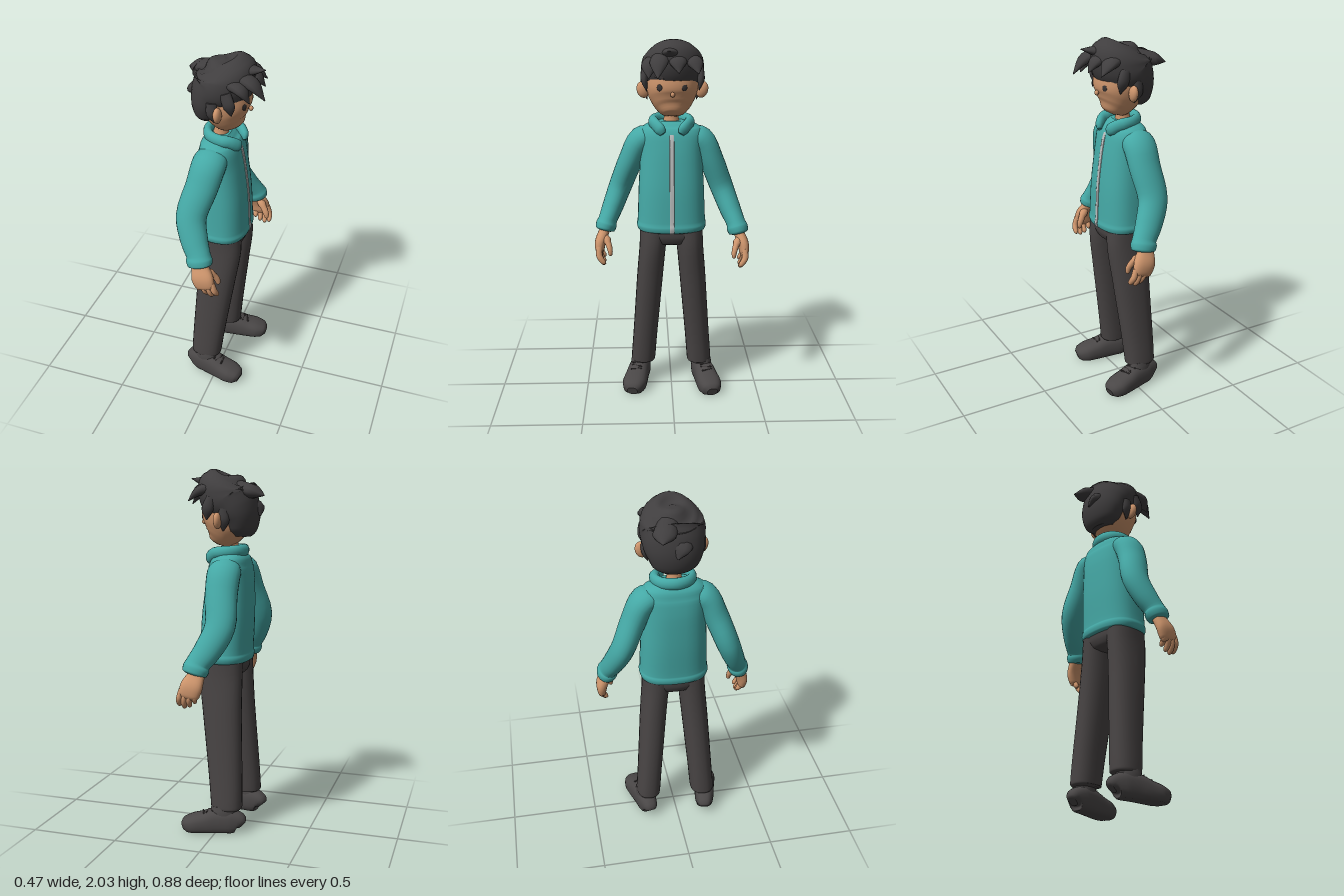
import * as THREE from 'three';

const mat = (name, color, side = THREE.FrontSide) => {
  const m = new THREE.MeshStandardMaterial({ color, side });
  m.name = name;
  return m;
};

// Smooth closed body through rings [x, y, z, halfA, halfB]; halfA lies along ref, p sets squareness
function loft(rings, { ref = [1, 0, 0], p = 2, seg = 24, steps = 4, floor = false } = {}) {
  const path = new THREE.CatmullRomCurve3(rings.map(r => new THREE.Vector3(r[0], r[1], r[2])));
  const size = new THREE.CatmullRomCurve3(rings.map(r => new THREE.Vector3(r[3], r[4], 0)));
  const n = (rings.length - 1) * steps, pos = [], idx = [];
  const up = new THREE.Vector3(...ref), pw = v => Math.sign(v) * Math.abs(v) ** (2 / p);
  const ring = i => {
    const c = path.getPoint(i / n), d = size.getPoint(i / n), t = path.getTangent(i / n);
    const u = up.clone().addScaledVector(t, -up.dot(t)).normalize();
    const v = t.clone().cross(u);
    for (let j = 0; j < seg; j++) {
      const a = j / seg * Math.PI * 2;
      const q = c.clone().addScaledVector(u, pw(Math.cos(a)) * d.x).addScaledVector(v, pw(Math.sin(a)) * d.y);
      pos.push(q.x, floor ? Math.max(0, q.y) : q.y, q.z);
    }
    return c;
  };
  for (let i = 0; i <= n; i++) ring(i);
  for (let i = 0; i < n; i++) for (let j = 0; j < seg; j++) {
    const a = i * seg + j, b = i * seg + (j + 1) % seg;
    idx.push(a, b, b + seg, a, b + seg, a + seg);
  }
  // End caps with their own vertices
  for (const end of [0, n]) {
    const s = pos.length / 3, c = ring(end), m = s + seg;
    pos.push(c.x, floor ? Math.max(0, c.y) : c.y, c.z);
    for (let j = 0; j < seg; j++) {
      const a = s + j, b = s + (j + 1) % seg;
      if (end) idx.push(m, a, b); else idx.push(m, b, a);
    }
  }
  const g = new THREE.BufferGeometry();
  g.setAttribute('position', new THREE.Float32BufferAttribute(pos, 3));
  g.setIndex(idx);
  g.computeVertexNormals();
  return g;
}

export function createModel() {
  const root = new THREE.Group();
  root.name = 'standingFigure';
  const teal = mat('jacketTeal', 0x45a9a6), zipGrey = mat('zipGrey', 0xb9bcbc);
  const trouser = mat('trouserCharcoal', 0x484444), shoeMat = mat('shoeCharcoal', 0x4a4747);
  const hairMat = mat('hairBlack', 0x403e3f), skin = mat('skin', 0xcf966d);
  const dark = mat('eyeDark', 0x383434);
  const add = (name, geo, m, parent = root) => {
    const mesh = new THREE.Mesh(geo, m);
    mesh.name = name;
    parent.add(mesh);
    return mesh;
  };

  // Jacket body: [y, centre x, half depth, half width]
  const body = [[.965, 0, .12, .17], [.975, 0, .14, .19], [1, 0, .145, .197], [1.025, 0, .14, .192],
    [1.2, -.008, .14, .185], [1.4, -.02, .128, .175], [1.5, -.025, .113, .178], [1.545, -.03, .095, .165],
    [1.57, -.03, .07, .125], [1.585, -.03, .055, .08]];
  add('jacketBody', loft(body.map(([y, x, a, b]) => [x, y, 0, a, b]), { p: 2.5, seg: 36 }), teal);
  add('zip', loft(body.slice(1, 8).map(([y, x, a]) => [x + a, y, 0, .004, .013]), { p: 4, seg: 12 }), zipGrey);

  // Collar running round the neck with two hanging tips
  const half = [[.09, 1.525, .05, .018, .012], [.08, 1.55, .065, .034, .024], [.045, 1.575, .092, .034, .025],
    [-.02, 1.583, .1, .034, .025], [-.075, 1.588, .068, .034, .025]];
  const mirrored = half.map(([x, y, z, a, b]) => [x, y, -z, a, b]).reverse();
  add('collar', loft([...half, [-.098, 1.59, 0, .034, .025], ...mirrored],
    { ref: [0, 1, 0], seg: 14 }), teal);

  // Neck and hips
  add('neck', loft([[-.03, 1.55, 0, .05, .05], [-.025, 1.62, 0, .037, .04], [-.02, 1.72, 0, .042, .045]]), skin);
  add('hips', loft([[0, .885, 0, .07, .06], [0, .9, 0, .105, .13], [0, .94, 0, .122, .175], [0, 1, 0, .125, .18]],
    { p: 2.4 }), trouser);

  for (const s of [1, -1]) {
    const side = s > 0 ? 'right' : 'left';
    const fwd = s > 0 ? 0 : 1;

    // Trouser leg with a turned hem
    const leg = [[0, .98, .098, .12, .082], [0, .88, .106, .122, .076], [-.015, .7, .122, .112, .075],
      [-.035, .5, .138, .103, .073], [-.055, .3, .154, .095, .071], [-.066, .17, .164, .09, .071],
      [-.068, .14, .166, .088, .07], [-.068, .132, .166, .07, .055]];
    add(side + 'TrouserLeg', loft(leg.map(([x, y, z, a, b]) =>
      [x + fwd * .022 * (1 - y), y, s * z, a, b]), { p: 2.3 }), trouser);

    // Shoe with tongue and laces, toes turned out
    const foot = new THREE.Group();
    foot.name = side + 'Shoe';
    foot.position.set(fwd * .028, 0, s * .2);
    foot.rotation.y = -s * .2;
    root.add(foot);
    add('shoeUpper', loft([[-.168, .04, 0, .025, .025], [-.155, .055, 0, .055, .045], [-.1, .063, 0, .075, .058],
      [-.02, .06, 0, .075, .062], [.04, .05, 0, .064, .067], [.1, .042, 0, .056, .07],
      [.148, .032, 0, .045, .055], [.168, .025, 0, .025, .03]],
      { ref: [0, 1, 0], p: 2.5, floor: true }), shoeMat, foot);
    add('shoeAnkle', loft([[-.07, .07, 0, .08, .055], [-.065, .125, 0, .075, .052], [-.06, .16, 0, .06, .045]]), shoeMat, foot);
    for (let i = 0; i < 3; i++) {
      const lace = add('lace', new THREE.CapsuleGeometry(.005, .055, 3, 8), dark, foot);
      lace.position.set(.0 + i * .024, .128 - i * .0085, 0);
      lace.rotation.set(Math.PI / 2, 0, i % 2 ? .2 : -.2);
    }

    // Sleeve bent at the elbow, ending in a puffed cuff
    const reach = y => fwd * .085 * THREE.MathUtils.clamp((1.5 - y) / .5, 0, 1);
    const sleeve = [[-.03, 1.505, .09, .07, .045], [-.037, 1.475, .165, .094, .074], [-.06, 1.36, .225, .09, .07],
      [-.1, 1.2, .288, .085, .066], [-.068, 1.08, .335, .077, .06], [-.035, 1.01, .364, .068, .054],
      [-.028, .985, .372, .074, .06], [-.02, .958, .38, .068, .055], [-.018, .95, .382, .045, .035]];
    add(side + 'Sleeve', loft(sleeve.map(([x, y, z, a, b]) => [x + reach(y), y, s * z, a, b])), teal);

    // Hand: palm, four curled fingers and a thumb
    const hand = new THREE.Group();
    hand.name = side + 'Hand';
    hand.position.x = fwd * .07;
    root.add(hand);
    const part = (name, pts, o) => add(name, loft(pts.map(([x, y, z, a, b]) => [x, y, s * z, a, b]), o), skin, hand);
    part('palm', [[-.025, .98, .372, .04, .03], [-.015, .94, .388, .05, .03], [.002, .89, .407, .062, .031],
      [.015, .845, .41, .058, .026], [.02, .825, .408, .04, .015]], { p: 2.4 });
    for (let i = 0; i < 4; i++) {
      const x = -.03 + i * .029, drop = [.03, .008, 0, .012][i];
      part('finger', [[x, .875, .41, .015, .016], [x + .012, .83, .412, .017, .018],
        [x + .018, .797 + drop, .403, .016, .017], [x + .02, .775 + drop, .386, .013, .014],
        [x + .02, .768 + drop, .378, .005, .006]], { seg: 12, steps: 3 });
    }
    part('thumb', [[.01, .93, .385, .02, .018], [.045, .895, .362, .02, .018], [.066, .86, .35, .018, .015],
      [.072, .833, .348, .012, .011], [.073, .825, .348, .004, .004]], { seg: 12, steps: 3 });

    // Ear, eye and brow
    const ear = add(side + 'Ear', new THREE.SphereGeometry(1, 16, 12), skin);
    ear.scale.set(.022, .046, .034);
    ear.position.set(.004, 1.757, s * .162 - .006);
    ear.rotation.x = s * .25;
    const eye = add(side + 'Eye', new THREE.SphereGeometry(1, 16, 10), dark);
    eye.scale.set(.005, .018, .016);
    eye.position.set(.121, 1.78, s * .067);
    eye.rotation.y = -s * .38;
    const brow = add(side + 'Brow', new THREE.BoxGeometry(.009, .009, .052), dark);
    brow.position.set(.119, 1.837, s * .068);
    brow.rotation.set(s * -.12, -s * .38, 0);
  }

  // Head
  add('head', loft([[.055, 1.625, -.005, .02, .025], [.05, 1.635, -.005, .055, .06], [.028, 1.67, -.005, .095, .1],
    [.008, 1.72, -.005, .125, .13], [-.003, 1.78, -.005, .14, .143], [-.015, 1.86, -.005, .142, .143],
    [-.02, 1.93, -.005, .1, .1]], { p: 2.15, seg: 32 }), skin);
  const nose = add('nose', new THREE.SphereGeometry(1, 12, 8), skin);
  nose.scale.set(.012, .014, .013);
  nose.position.set(.135, 1.745, -.003);

  // Hair: full cap with swept locks
  const hair = new THREE.Group();
  hair.name = 'hair';
  root.add(hair);
  add('hairCap', loft([[-.085, 1.67, -.005, .05, .08], [-.087, 1.7, -.005, .08, .122], [-.08, 1.77, -.005, .108, .152],
    [-.055, 1.83, -.008, .132, .166], [-.018, 1.88, -.008, .163, .172], [-.01, 1.93, -.01, .17, .163],
    [-.02, 1.97, -.01, .14, .125], [-.03, 1.992, -.01, .075, .065], [-.03, 1.999, -.01, .02, .02]], { seg: 28 }), hairMat);
  // Each lock: root, bend, tip, width
  const locks = [
    [[.05, 1.94, .05], [.16, 1.92, .07], [.232, 1.84, .078], .05],
    [[.03, 1.96, .0], [.13, 1.965, .01], [.215, 1.98, .02], .045],
    [[.06, 1.93, -.03], [.15, 1.92, -.03], [.2, 1.865, -.035], .048],
    [[.04, 1.93, -.09], [.12, 1.915, -.12], [.18, 1.86, -.14], .048],
    [[.04, 1.92, .1], [.12, 1.9, .12], [.165, 1.835, .125], .045],
    [[-.08, 1.93, -.04], [-.17, 1.91, -.075], [-.238, 1.89, -.095], .062],
    [[-.08, 1.85, .02], [-.16, 1.83, .01], [-.195, 1.78, -.01], .06],
    [[.04, 1.88, .14], [.062, 1.82, .148], [.072, 1.755, .135], .034],
    [[.04, 1.88, -.15], [.062, 1.82, -.158], [.072, 1.76, -.148], .034],
    [[-.03, 1.82, .145], [-.028, 1.76, .148], [-.02, 1.7, .132], .032],
    [[-.03, 1.82, -.152], [-.028, 1.76, -.155], [-.02, 1.7, -.138], .032],
  ];
  for (const [a, b, c, w] of locks)
    add('hairLock', loft([[...a, w * .7, w * .9], [...b, w * .6, w], [...c, .002, .003]],
      { ref: Math.abs(a[1] - c[1]) > .11 ? [0, 0, 1] : [0, 1, 0], seg: 12, steps: 5 }), hairMat, hair);
  hair.add(root.getObjectByName('hairCap'));
  return root;
}
